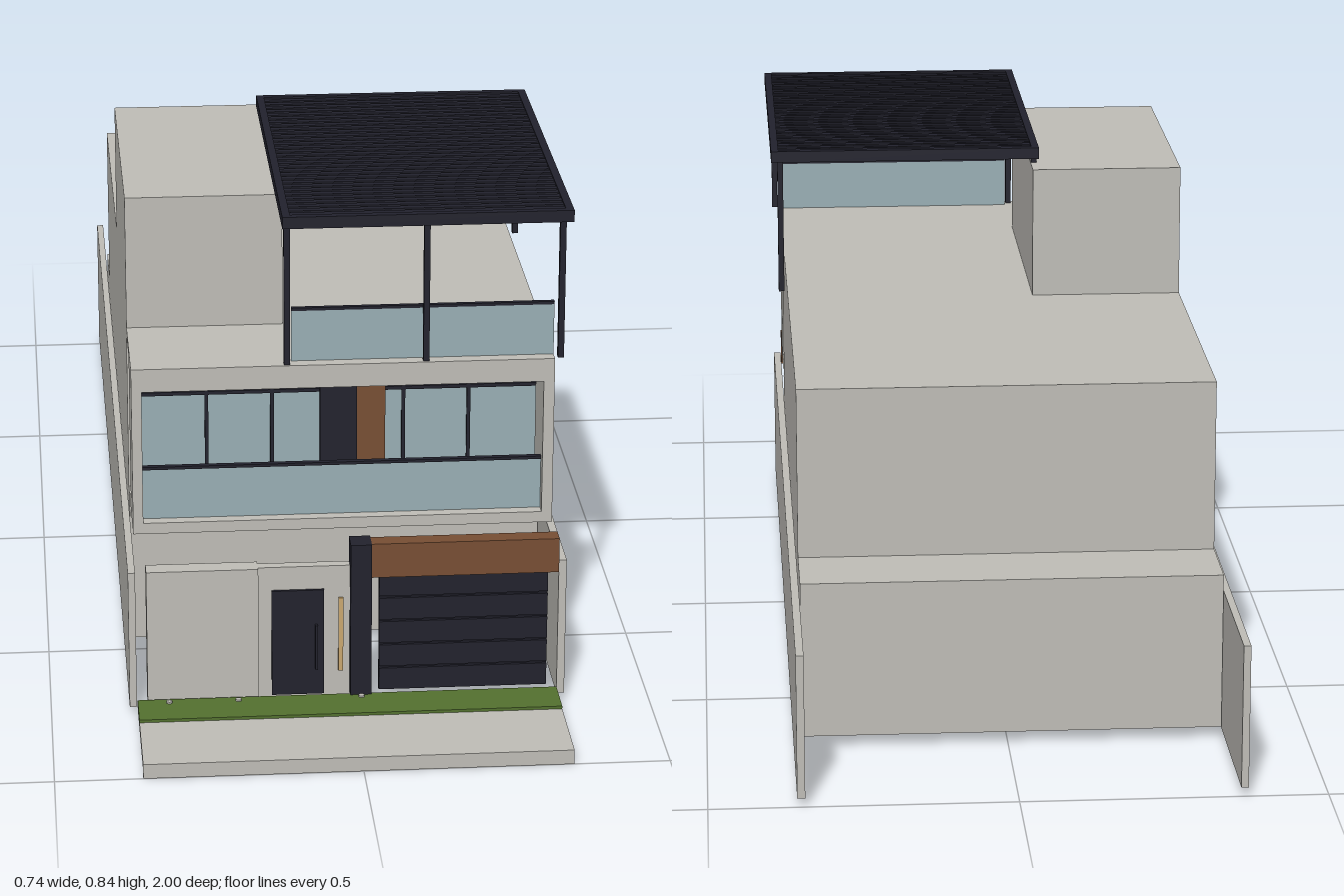
import * as THREE from 'three';

const mat = (name, color) => {
  const m = new THREE.MeshStandardMaterial({ color });
  m.name = name;
  return m;
};

export function createModel() {
  const house = new THREE.Group();
  house.name = 'house';
  const plaster = mat('plaster', 0xc0beb8);
  const metal = mat('darkMetal', 0x22222d);
  const glass = mat('glass', 0x9ab0b6);
  const wood = mat('wood', 0x784f34);
  const cream = mat('warmLight', 0xcba970);
  const grass = mat('grass', 0x54722f);

  const section = (name) => {
    const g = new THREE.Group();
    g.name = name;
    house.add(g);
    return g;
  };
  // Box given by its limits along each axis
  const box = (parent, name, m, x0, x1, y0, y1, z0, z1) => {
    const mesh = new THREE.Mesh(new THREE.BoxGeometry(x1 - x0, y1 - y0, z1 - z0), m);
    mesh.position.set((x0 + x1) / 2, (y0 + y1) / 2, (z0 + z1) / 2);
    mesh.name = name;
    parent.add(mesh);
    return mesh;
  };
  const disc = (parent, name, m, x, y, z, r = 0.005) => {
    const mesh = new THREE.Mesh(new THREE.CylinderGeometry(r, r, 0.004, 12), m);
    mesh.position.set(x, y, z);
    mesh.name = name;
    parent.add(mesh);
  };
  const L = -0.357, R = 0.343;

  // Main volumes
  const body = section('body');
  box(body, 'groundFloor', plaster, L, R, 0.02, 0.287, -0.738, 0.495);
  box(body, 'upperFloor', plaster, L, R, 0.287, 0.58, -0.602, 0.46);
  box(body, 'roofRoom', plaster, L, -0.094, 0.58, 0.81, -0.03, 0.473);

  // Boundary walls
  const walls = section('boundaryWalls');
  box(walls, 'rightWall', plaster, -0.37, -0.358, 0.015, 0.257, -1, 0.762);
  box(walls, 'leftWall', plaster, 0.344, 0.357, 0.015, 0.257, -1, 0.762);

  // Pavement and lawn
  const ground = section('pavement');
  box(ground, 'pavementSlab', plaster, L, R, 0.012, 0.025, 0.765, 0.99);
  box(ground, 'curb', plaster, L, R, 0, 0.025, 0.988, 1);
  box(ground, 'lawn', grass, L, R, 0.024, 0.03, 0.769, 0.845);
  for (const x of [-0.305, -0.19, 0.015]) disc(ground, 'gardenLight', plaster, x, 0.031, 0.782);

  // Street front: wall, door, column, garage
  const front = section('streetFront');
  box(front, 'frontWall', plaster, -0.34, -0.155, 0.02, 0.257, 0.73, 0.762);
  box(front, 'entryWall', plaster, -0.155, 0, 0.02, 0.257, 0.738, 0.756);
  box(front, 'entryDoor', metal, -0.133, -0.046, 0.028, 0.216, 0.755, 0.761);
  box(front, 'doorHandle', metal, -0.061, -0.057, 0.075, 0.155, 0.76, 0.769);
  box(front, 'lightStrip', cream, -0.022, -0.014, 0.068, 0.2, 0.755, 0.76);
  box(front, 'column', metal, -0.003, 0.032, 0.028, 0.3, 0.735, 0.775);
  box(front, 'fascia', wood, 0.032, R, 0.24, 0.3, 0.742, 0.772);
  const rows = 5, rowH = 0.212 / rows;
  box(front, 'garageDoorBack', metal, 0.046, 0.327, 0.028, 0.24, 0.744, 0.752);
  for (let i = 0; i < rows; i++) {
    const y = 0.028 + i * rowH;
    box(front, 'garageDoorPanel', metal, 0.046, 0.327, y + 0.002, y + rowH - 0.002, 0.75, 0.757);
  }

  // Projecting balcony frame, open through its middle
  const balcony = section('balcony');
  box(balcony, 'balconyRoof', plaster, L, R, 0.565, 0.58, 0.46, 0.672);
  box(balcony, 'balconyLintel', plaster, L, R, 0.54, 0.565, 0.57, 0.672);
  box(balcony, 'balconyFloor', plaster, L, R, 0.288, 0.307, 0.54, 0.672);
  box(balcony, 'rightCheek', plaster, L, -0.34, 0.307, 0.54, 0.57, 0.672);
  box(balcony, 'leftCheek', plaster, 0.325, R, 0.307, 0.54, 0.57, 0.672);
  box(balcony, 'balconyGlass', glass, -0.34, 0.325, 0.307, 0.396, 0.648, 0.652);
  box(balcony, 'balconyRail', metal, -0.34, 0.325, 0.395, 0.4, 0.645, 0.655);
  for (const x of [-0.12, 0.105]) disc(balcony, 'ceilingLight', plaster, x, 0.539, 0.61);

  // Window wall set back behind the balcony
  const windows = section('windowWall');
  box(windows, 'windowGlass', glass, -0.34, 0.33, 0.307, 0.56, 0.552, 0.556);
  for (const x of [-0.228, -0.118, 0.103, 0.213])
    box(windows, 'mullion', metal, x - 0.003, x + 0.003, 0.307, 0.56, 0.548, 0.562);
  box(windows, 'transom', metal, -0.34, 0.33, 0.49, 0.496, 0.548, 0.562);
  box(windows, 'balconyDoor', metal, -0.038, 0.024, 0.307, 0.563, 0.54, 0.57);
  box(windows, 'woodPanel', wood, 0.024, 0.072, 0.307, 0.558, 0.544, 0.567);
  for (const [a, b] of [[-0.32, -0.05], [0.08, 0.305]])
    box(windows, 'curtain', cream, a, b, 0.31, 0.54, 0.523, 0.527);

  // Roof terrace railing
  const railing = section('terraceRailing');
  box(railing, 'terraceGlass', glass, -0.092, R, 0.58, 0.67, 0.646, 0.65);
  box(railing, 'terraceRail', metal, -0.092, R, 0.668, 0.673, 0.644, 0.652);

  // Pergola: posts, edge beams and slats
  const pergola = section('pergola');
  const x0 = -0.108, x1 = 0.369, z0 = 0.012, z1 = 0.68, y0 = 0.82, y1 = 0.84, t = 0.013;
  for (const x of [-0.1, 0.13, 0.353])
    box(pergola, 'frontPost', metal, x - 0.005, x + 0.005, 0.58, y0, 0.657, 0.668);
  for (const x of [-0.1, 0.353])
    box(pergola, 'rearPost', metal, x - 0.005, x + 0.005, 0.58, y0, 0.026, 0.04);
  for (const z of [z0, z1 - t]) box(pergola, 'crossBeam', metal, x0, x1, y0, y1, z, z + t);
  for (const x of [x0, x1 - t]) box(pergola, 'sideBeam', metal, x, x + t, y0, y1, z0 + t, z1 - t);
  const slats = 31, pitch = (z1 - z0 - 2 * t) / slats;
  for (let i = 0; i < slats; i++) {
    const z = z0 + t + (i + 0.5) * pitch;
    box(pergola, 'slat', metal, x0 + t, x1 - t, 0.823, 0.838, z - 0.0065, z + 0.0065);
  }
  for (const x of [0.01, 0.13, 0.25]) disc(pergola, 'pergolaLight', cream, x, 0.82, 0.49);

  return house;
}
